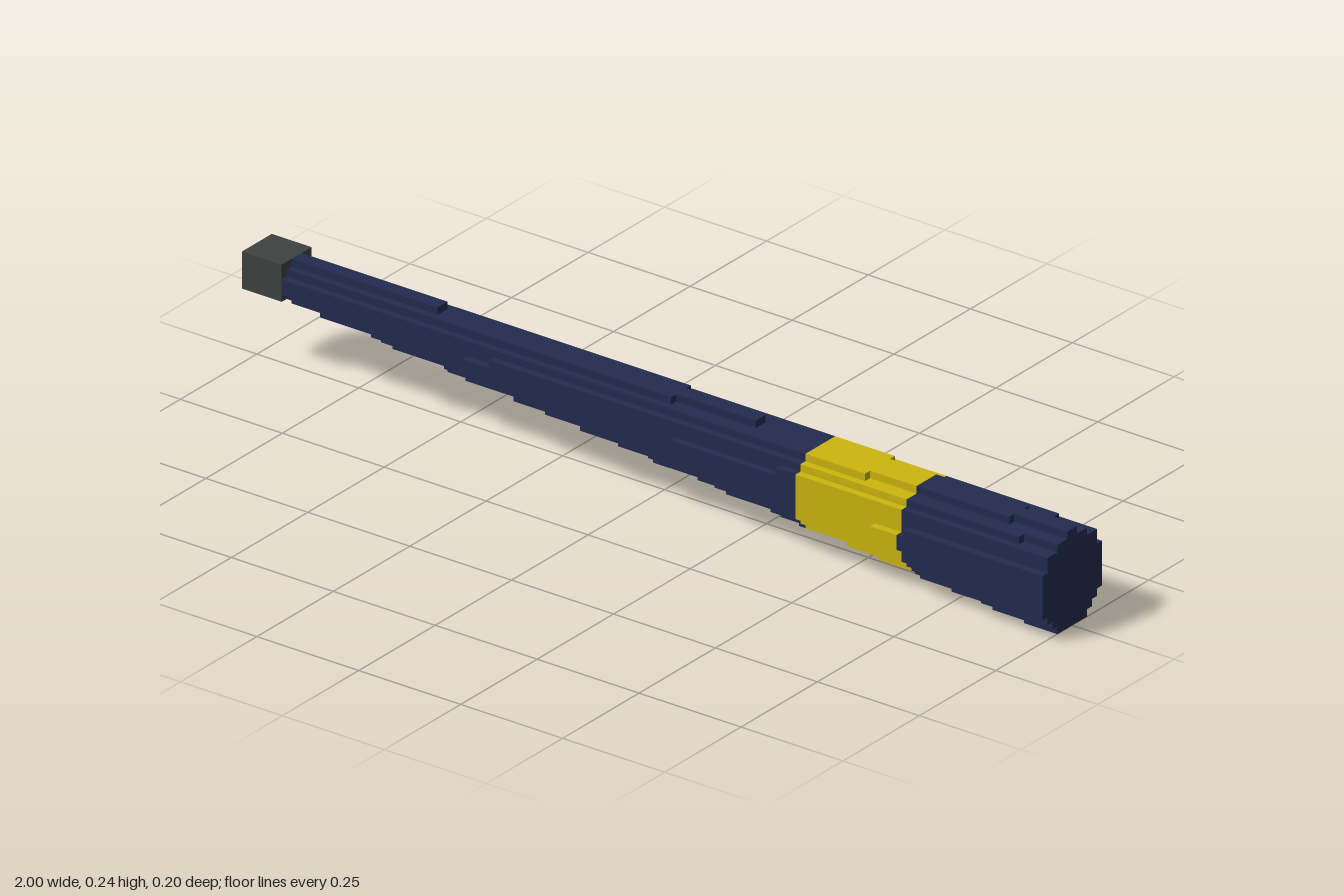
import * as THREE from 'three';
import { mergeGeometries } from 'three/addons/utils/BufferGeometryUtils.js';

const COLUMNS = 123;          // cells along x
const ROWS = 15;              // cells along y
const CELL = 2 / COLUMNS;

const material = (name, color) => {
  const m = new THREE.MeshStandardMaterial({ color });
  m.name = name;
  return m;
};

// A box measured in cells: columns c0..c1, rows r0..r1, half width in z
function cellBox(c0, c1, r0, r1, half) {
  const g = new THREE.BoxGeometry((c1 - c0) * CELL, (r1 - r0) * CELL, 2 * half * CELL);
  return g.translate(-1 + (c0 + c1) / 2 * CELL, (r0 + r1) / 2 * CELL, 0);
}

// Half width in whole cells of the tilted, tapering round shaft
function halfWidth(column, row) {
  const x = -1 + (column + 0.5) * CELL;
  const bottom = 0.5 + (0.82 - x) / 0.193;
  const top = 14.5 - (x + 0.515) / 0.765;
  const radiusY = (top - bottom) / 2;
  const radiusZ = 3.5 + (x + 0.445) * 1.95;
  const dy = (row + 0.5 - (top + bottom) / 2) / radiusY;
  if (Math.abs(dy) >= 1) return 0;
  return Math.floor(radiusZ * Math.sqrt(1 - dy * dy) + 0.5);
}

// One length of the shaft, each row split where its width steps
function shaftSection(name, start, end, mat) {
  const boxes = [];
  for (let row = 0; row < ROWS; row++) {
    let from = start;
    for (let c = start + 1; c <= end; c++) {
      const half = halfWidth(from, row);
      if (c < end && halfWidth(c, row) === half) continue;
      if (half > 0) boxes.push(cellBox(from, c, row, row + 1, half));
      from = c;
    }
  }
  const mesh = new THREE.Mesh(mergeGeometries(boxes), mat);
  mesh.name = name;
  return mesh;
}

export function createModel() {
  const navy = material('navy', 0x222c50);
  const yellow = material('yellow', 0xccb60e);
  const grey = material('dark grey', 0x3d4240);

  const model = new THREE.Group();
  model.name = 'taperedRod';

  // Square cap on the thin end
  const cap = new THREE.Mesh(cellBox(0, 6, 10, 15, 3), grey);
  cap.name = 'tipCap';

  model.add(
    cap,
    shaftSection('longShaft', 6, 85, navy),
    shaftSection('yellowBand', 85, 101, yellow),
    shaftSection('thickEnd', 101, COLUMNS, navy),
  );
  return model;
}
